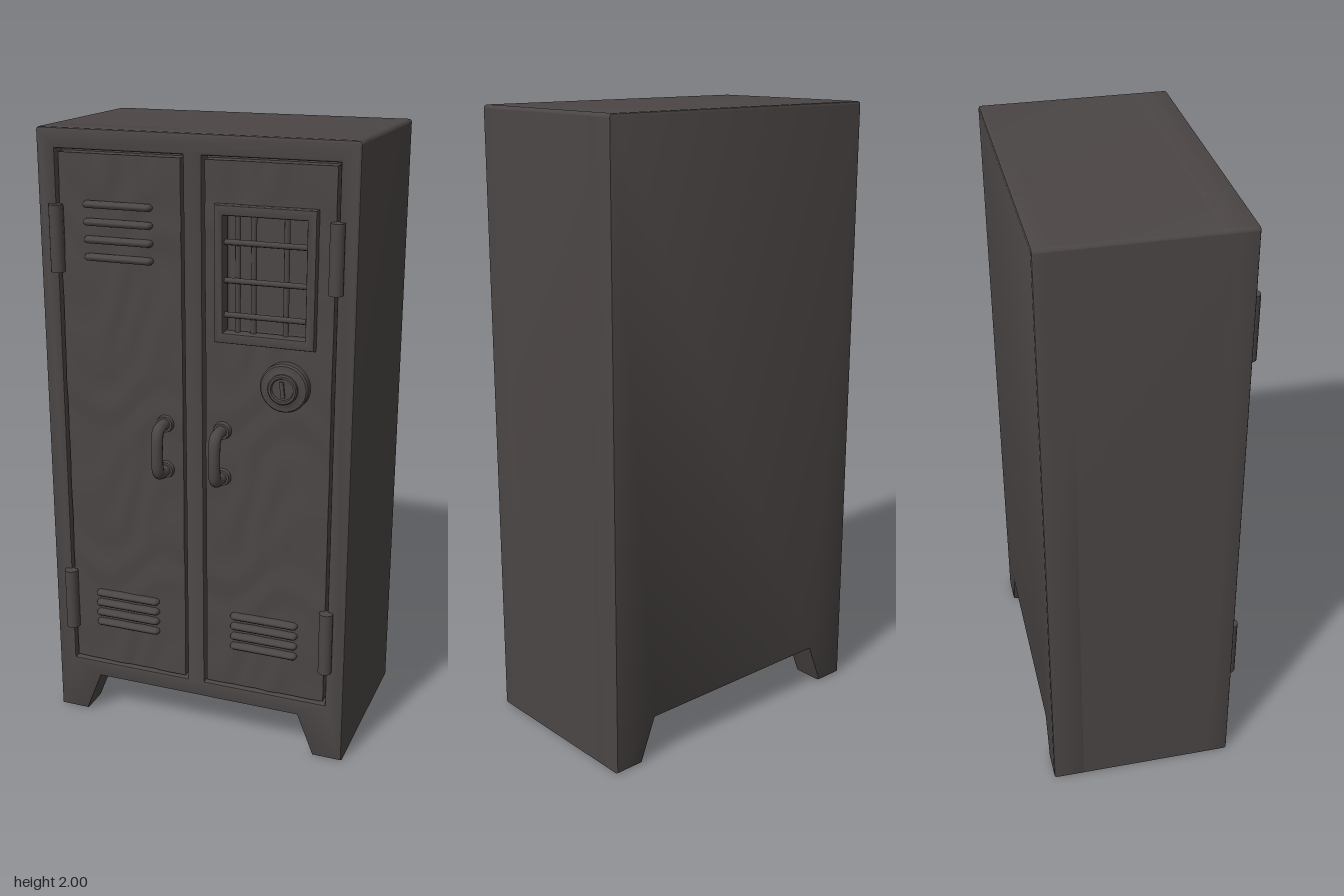
import * as THREE from 'three';
import { toCreasedNormals } from 'three/addons/utils/BufferGeometryUtils.js';

const steel = new THREE.MeshStandardMaterial({ color: 0x4b4645 });
steel.name = 'darkSteel';

function add(parent, name, geometry, x = 0, y = 0, z = 0) {
  const mesh = new THREE.Mesh(geometry, steel);
  mesh.name = name;
  mesh.position.set(x, y, z);
  parent.add(mesh);
  return mesh;
}

function rectPath(x0, y0, x1, y1, Type = THREE.Path) {
  const p = new Type();
  p.moveTo(x0, y0).lineTo(x1, y0).lineTo(x1, y1).lineTo(x0, y1).closePath();
  return p;
}

// Extrudes a shape between two depths with a small inward bevel
function slab(shape, z0, z1, bevel) {
  const geo = new THREE.ExtrudeGeometry(shape, {
    depth: z1 - z0 - 2 * bevel, bevelEnabled: bevel > 0, bevelThickness: bevel,
    bevelSize: bevel, bevelOffset: -bevel, bevelSegments: 2, curveSegments: 6,
  });
  geo.translate(0, 0, z0 + bevel);
  return toCreasedNormals(geo, 0.7);
}

// Front silhouette of the cabinet, standing on two tapered feet
function cabinetShape(footX, archX) {
  const w = 0.51, r = 0.012, s = new THREE.Shape();
  s.moveTo(-w, 0).lineTo(-footX, 0).lineTo(-archX, 0.14).lineTo(archX, 0.14);
  s.lineTo(footX, 0).lineTo(w, 0).lineTo(w, 2 - r);
  s.quadraticCurveTo(w, 2, w - r, 2).lineTo(-w + r, 2);
  s.quadraticCurveTo(-w, 2, -w, 2 - r).closePath();
  return s;
}

const WINDOW = { x0: 0.09, x1: 0.37, y0: 1.405, y1: 1.785 };

// Door sheet with shallow dents; the window area is pressed inwards
function doorGeometry(cx, hasWindow) {
  const geo = new THREE.BoxGeometry(0.402, 1.72, 0.05, 40, 140, 1);
  geo.translate(cx, 1.067, 0.236);
  const p = geo.attributes.position;
  for (let i = 0; i < p.count; i++) {
    const x = p.getX(i), y = p.getY(i);
    if (p.getZ(i) < 0.25) continue;
    const n = Math.sin(17 * x + 9 * y + 2 * Math.sin(11 * y)) * Math.sin(13 * y - 21 * x + 3 * Math.sin(15 * x));
    const inWindow = hasWindow && x > WINDOW.x0 && x < WINDOW.x1 && y > WINDOW.y0 && y < WINDOW.y1;
    p.setZ(i, inWindow ? 0.232 : 0.26 + 0.003 * n);
  }
  geo.computeVertexNormals();
  return geo;
}

// Rows of raised pressed vents
function addLouvers(parent, name, cx, yTop, step) {
  const group = new THREE.Group();
  group.name = name;
  for (let i = 0; i < 4; i++) {
    const geo = new THREE.CapsuleGeometry(0.014, 0.2, 4, 10);
    geo.rotateZ(Math.PI / 2);
    geo.scale(1, 0.85, 1.4);
    add(group, 'louver', geo, cx, yTop - i * step, 0.265);
  }
  parent.add(group);
}

function addHandle(parent, name, x) {
  const group = new THREE.Group();
  group.name = name;
  const pts = [[0.945, 0.255], [0.945, 0.3], [0.952, 0.322], [0.972, 0.331],
    [1.072, 0.331], [1.092, 0.322], [1.099, 0.3], [1.099, 0.255]];
  const path = new THREE.CatmullRomCurve3(pts.map(([y, z]) => new THREE.Vector3(0, y, z)), false, 'centripetal');
  add(group, 'grip', new THREE.TubeGeometry(path, 40, 0.019, 12));
  for (const y of [0.945, 1.099]) {
    const washer = new THREE.CylinderGeometry(0.026, 0.03, 0.02, 20);
    washer.rotateX(Math.PI / 2);
    add(group, 'washer', washer, 0, y, 0.265);
  }
  group.position.x = x;
  parent.add(group);
}

export function createModel() {
  const model = new THREE.Group();
  model.name = 'locker';

  // Cabinet: front frame with door openings, thin-skirted middle, back panel
  const front = cabinetShape(0.41, 0.355);
  front.holes.push(rectPath(-0.449, 0.197, -0.03, 1.937), rectPath(0.03, 0.197, 0.449, 1.937));
  add(model, 'frontFrame', slab(front, 0.155, 0.265, 0.008));
  add(model, 'cabinetBody', slab(cabinetShape(0.475, 0.44), -0.335, 0.215, 0));
  add(model, 'backPanel', slab(cabinetShape(0.41, 0.355), -0.345, -0.235, 0.008));

  // Doors
  add(model, 'rightDoor', doorGeometry(-0.2395, false));
  add(model, 'leftDoor', doorGeometry(0.2395, true));
  addLouvers(model, 'upperRightLouvers', -0.243, 1.775, 0.054);
  addLouvers(model, 'lowerRightLouvers', -0.243, 0.465, 0.036);
  addLouvers(model, 'lowerLeftLouvers', 0.238, 0.465, 0.036);
  addHandle(model, 'rightHandle', -0.097);
  addHandle(model, 'leftHandle', 0.094);

  // Window frame and its grille
  const frame = rectPath(0.073, 1.385, 0.39, 1.802, THREE.Shape);
  frame.holes.push(rectPath(0.103, 1.418, 0.36, 1.77));
  add(model, 'windowFrame', slab(frame, 0.235, 0.284, 0.008));
  const grille = new THREE.Group();
  grille.name = 'windowGrille';
  for (const x of [0.14, 0.19, 0.292]) {
    add(grille, 'verticalBar', new THREE.CylinderGeometry(0.009, 0.009, 0.37, 8), x, 1.594, 0.252);
  }
  for (const y of [1.47, 1.575, 1.69]) {
    const bar = new THREE.CylinderGeometry(0.009, 0.009, 0.27, 8);
    bar.rotateZ(Math.PI / 2);
    add(grille, 'horizontalBar', bar, 0.2315, y, 0.262);
  }
  model.add(grille);

  // Round lock with a recessed face and a key slot
  const profile = [[0.076, 0], [0.076, 0.028], [0.071, 0.035], [0.05, 0.035], [0.047, 0.037],
    [0.047, 0.046], [0.043, 0.05], [0.036, 0.05], [0.033, 0.042], [0, 0.042]];
  const lock = new THREE.LatheGeometry(profile.map(([r, y]) => new THREE.Vector2(r, y)), 32);
  lock.rotateX(Math.PI / 2);
  add(model, 'lock', toCreasedNormals(lock, 0.6), 0.3, 1.266, 0.258);
  add(model, 'keySlot', new THREE.BoxGeometry(0.012, 0.05, 0.01), 0.3, 1.266, 0.302).rotation.z = 0.12;

  // Barrel hinges on both outer edges
  for (const side of [-1, 1]) {
    for (const y of [1.665, 0.43]) {
      const barrel = new THREE.CylinderGeometry(0.022, 0.022, 0.21, 16);
      add(model, 'hinge', barrel, side * 0.448, y, 0.273);
      add(model, 'hingeLeaf', new THREE.BoxGeometry(0.04, 0.2, 0.012), side * 0.448, y, 0.265);
    }
  }
  return model;
}
